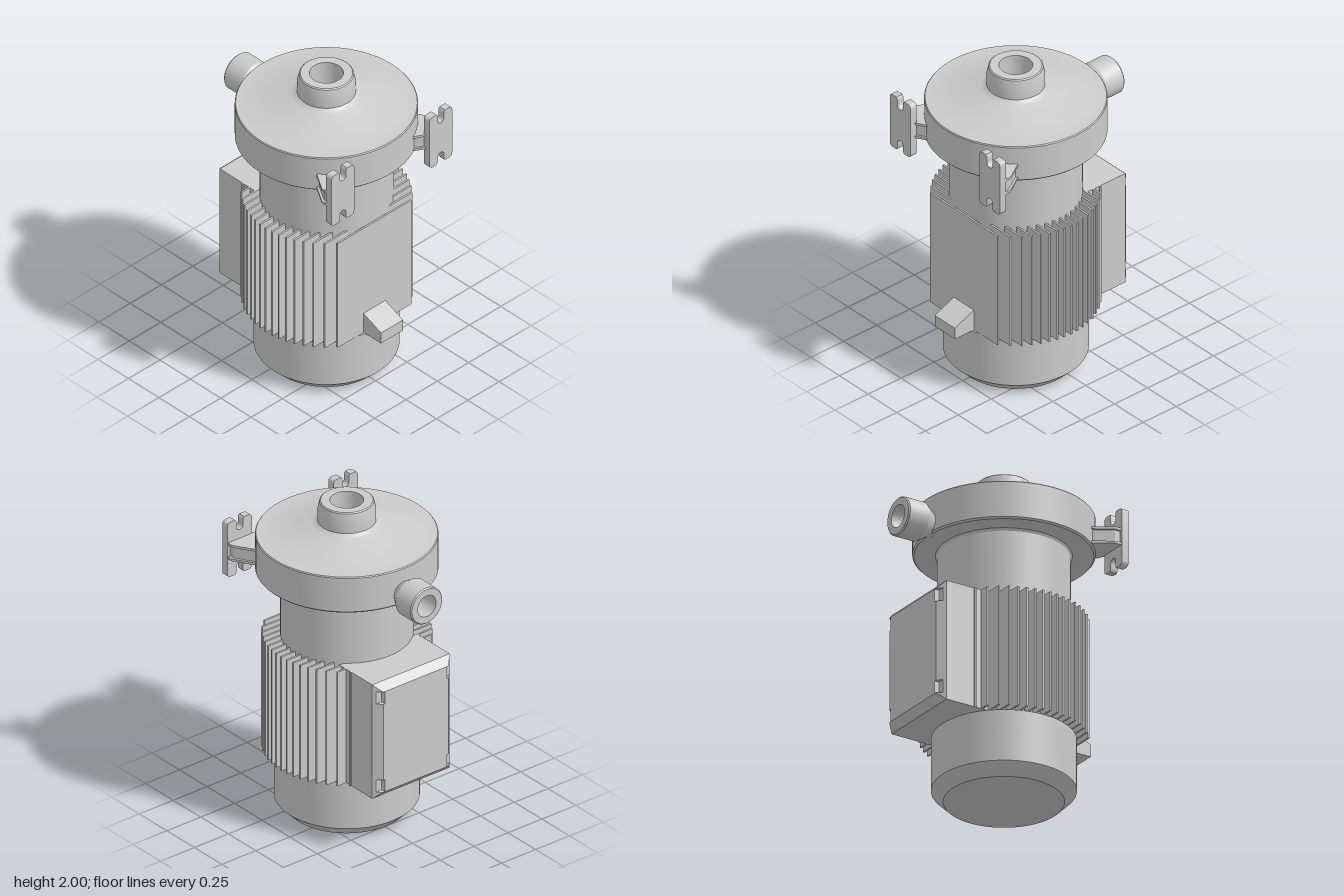
import * as THREE from 'three';
import { toCreasedNormals } from 'three/addons/utils/BufferGeometryUtils.js';
import { ConvexGeometry } from 'three/addons/geometries/ConvexGeometry.js';

const AXIS_Z = 0.097; // the pump shaft sits slightly in front of the centre
const material = new THREE.MeshStandardMaterial({ color: 0xcccccc });

function part(name, geometry, parent) {
  const mesh = new THREE.Mesh(geometry, material);
  mesh.name = name;
  parent.add(mesh);
  return mesh;
}

// Revolved profile of [radius, height] pairs, with sharp edges kept
function turned(profile, segments = 96) {
  const points = profile.map(([r, y]) => new THREE.Vector2(r, y));
  return toCreasedNormals(new THREE.LatheGeometry(points, segments), 0.45);
}

// Vertical prism from an outline of [x, z] pairs
function prism(outline, y0, y1) {
  const shape = new THREE.Shape(outline.map(([x, z]) => new THREE.Vector2(x, -z)));
  const geometry = new THREE.ExtrudeGeometry(shape, { depth: y1 - y0, bevelEnabled: false });
  return geometry.rotateX(-Math.PI / 2).translate(0, y0, 0);
}

function convex(points) {
  return new ConvexGeometry(points.map((p) => new THREE.Vector3(...p)));
}

// Plate with rounded corners and an open round-ended slot at top and bottom
function footPlate() {
  const w = 0.091, h = 0.18, c = 0.028, s = 0.025, d = 0.048;
  const shape = new THREE.Shape();
  shape.moveTo(-w, -h + c);
  shape.quadraticCurveTo(-w, -h, -w + c, -h);
  shape.lineTo(-s - 0.008, -h);
  shape.lineTo(-s, -h + 0.012);
  shape.lineTo(-s, -h + d);
  shape.absarc(0, -h + d, s, Math.PI, 0, true);
  shape.lineTo(s, -h + 0.012);
  shape.lineTo(s + 0.008, -h);
  shape.lineTo(w - c, -h);
  shape.quadraticCurveTo(w, -h, w, -h + c);
  shape.lineTo(w, h - c);
  shape.quadraticCurveTo(w, h, w - c, h);
  shape.lineTo(s + 0.008, h);
  shape.lineTo(s, h - 0.012);
  shape.lineTo(s, h - d);
  shape.absarc(0, h - d, s, 0, -Math.PI, true);
  shape.lineTo(-s, h - 0.012);
  shape.lineTo(-s - 0.008, h);
  shape.lineTo(-w + c, h);
  shape.quadraticCurveTo(-w, h, -w, h - c);
  shape.closePath();
  const geometry = new THREE.ExtrudeGeometry(shape, { depth: 0.046, bevelEnabled: false, curveSegments: 10 });
  return toCreasedNormals(geometry, 0.6);
}

function buildTerminalBox() {
  const box = new THREE.Group();
  box.name = 'terminalBox';
  const y0 = 0.39, y1 = 1.14, c = 0.045, x = 0.286, zIn = -0.485, zOut = -0.53;
  const body = new THREE.BoxGeometry(2 * x, y1 - y0, 0.285);
  part('terminalBoxBody', body.translate(0, (y0 + y1) / 2, zIn + 0.1425), box);

  // Bevelled lid, stepped in at the screw pockets
  const full = [[-x, zIn], [-x + c, zOut], [x - c, zOut], [x, zIn]];
  const notched = [[-x, zIn], [-x + 0.015, -0.5], [-0.228, -0.5], [-0.228, zOut],
    [0.228, zOut], [0.228, -0.5], [x - 0.015, -0.5], [x, zIn]];
  part('lidMiddle', prism(full, 0.515, 1.015), box);
  part('lidLowerPockets', prism(notched, y0 + c, 0.515), box);
  part('lidUpperPockets', prism(notched, 1.015, y1 - c), box);
  for (const [edge, inner, name] of [[y0, y0 + c, 'lidLowerBevel'], [y1, y1 - c, 'lidUpperBevel']]) {
    part(name, convex([-1, 1].flatMap((s) => [
      [s * x, edge, zIn], [s * x, inner, zIn], [s * (x - c), inner, zOut]])), box);
  }
  return box;
}

function buildFoot(side) {
  const foot = new THREE.Group();
  foot.name = side > 0 ? 'leftFoot' : 'rightFoot';
  part('footPlate', footPlate(), foot).position.set(side * 0.391, 1.62, 0.588);
  // Arm with a recessed web between two flanges
  const flange = [[0.478, 0.59], [0.478, 0.55], [0.4, 0.425], [0.3, 0.45], [0.23, 0.562], [0.3, 0.6], [0.32, 0.6]];
  const web = [[0.462, 0.59], [0.462, 0.553], [0.39, 0.435], [0.3, 0.45], [0.246, 0.556], [0.31, 0.592]];
  const mirror = (outline) => outline.map(([x, z]) => [side * x, z]);
  part('armLowerFlange', prism(mirror(flange), 1.565, 1.58), foot);
  part('armUpperFlange', prism(mirror(flange), 1.655, 1.67), foot);
  part('armWeb', prism(mirror(web), 1.58, 1.655), foot);
  return foot;
}

export function createModel() {
  const model = new THREE.Group();
  model.name = 'centrifugalPump';
  const shaft = new THREE.Group();
  shaft.name = 'shaftAssembly';
  shaft.position.z = AXIS_Z;
  model.add(shaft);

  // Motor
  part('fanCover', turned([[0, 0], [0.348, 0], [0.418, 0.07], [0.418, 0.39], [0, 0.39]]), shaft);
  part('motorBody', turned([[0.383, 0.38], [0.383, 1.535], [0.395, 1.555]]), shaft);

  // Cooling fins: parallel plates cut to a round outline
  const fins = new THREE.Group();
  fins.name = 'coolingFins';
  shaft.add(fins);
  const pitch = 0.0485;
  for (let i = -8; i <= 8; i++) {
    const halfWidth = Math.sqrt(0.487 ** 2 - (i * pitch) ** 2);
    part('coolingFin', new THREE.BoxGeometry(2 * halfWidth, 0.75, 0.012), fins)
      .position.set(0, 0.765, i * pitch);
  }

  // Pump casing with the suction neck on top
  part('pumpCasing', turned([
    [0.38, 1.55], [0.515, 1.55], [0.525, 1.56], [0.525, 1.78], [0.52, 1.786], [0.44, 1.786],
    [0.2, 1.852], [0.18, 1.86], [0.168, 1.872], [0.168, 1.945], [0.157, 1.994], [0.15, 2],
    [0.097, 2], [0.097, 1.8], [0, 1.8],
  ]), shaft);

  // Discharge port at the back
  const port = turned([
    [0.075, 0], [0.075, 0.03], [0.117, 0.095], [0.117, 0.227], [0.11, 0.235],
    [0.068, 0.235], [0.068, 0.07], [0, 0.07],
  ], 64);
  part('dischargePort', port.rotateX(-Math.PI / 2), model).position.set(0, 1.62, -0.395);

  model.add(buildTerminalBox(), buildFoot(1), buildFoot(-1));

  // Sloped support block at the front of the motor
  part('supportBlock', convex([-0.088, 0.088].flatMap((x) => [
    [x, 0.39, 0.47], [x, 0.39, 0.635], [x, 0.465, 0.635], [x, 0.537, 0.47]])), model);

  return model;
}
